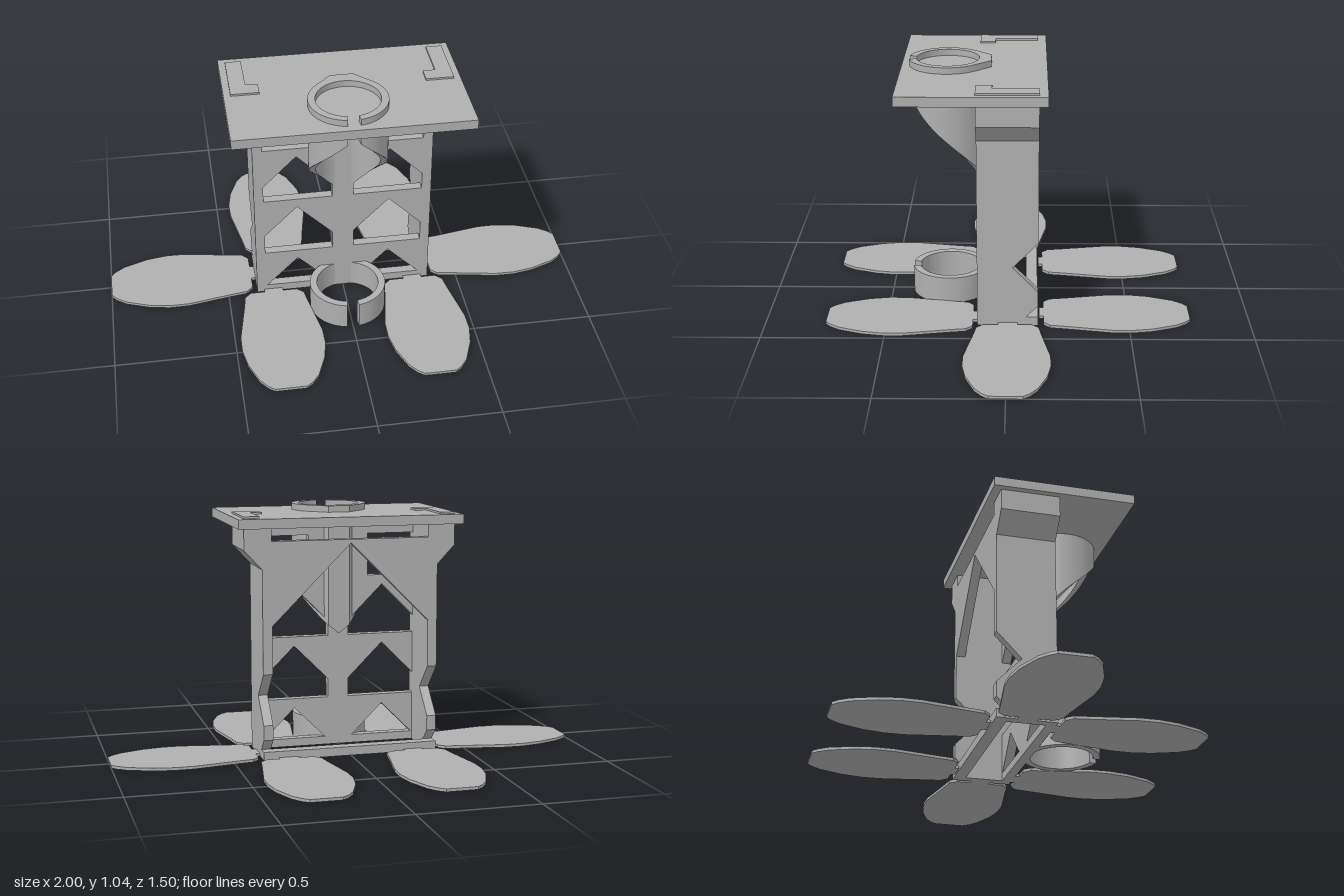
import * as THREE from 'three';
import { toCreasedNormals } from 'three/addons/utils/BufferGeometryUtils.js';

export function createModel() {
  const model = new THREE.Group();
  const grey = new THREE.MeshStandardMaterial({ color: 0xb0b0b0 });
  grey.name = 'plain grey';

  const add = (name, geometry) => {
    const mesh = new THREE.Mesh(geometry, grey);
    mesh.name = name;
    model.add(mesh);
    return mesh;
  };
  const box = (name, x0, x1, y0, y1, z0, z1) =>
    add(name, new THREE.BoxGeometry(x1 - x0, y1 - y0, z1 - z0)
      .translate((x0 + x1) / 2, (y0 + y1) / 2, (z0 + z1) / 2));
  const points = (list) => list.map(([x, y]) => new THREE.Vector2(x, y));
  const mirror = (list, s) => list.map(([x, y]) => [s * x, y]);
  const extrude = (outline, depth, holes = []) => {
    const shape = new THREE.Shape(points(outline));
    holes.forEach((h) => shape.holes.push(new THREE.Path(points(h))));
    return new THREE.ExtrudeGeometry(shape, { depth, bevelEnabled: false });
  };

  // Front truss panel with pointed windows and two square ones on top
  const windows = [
    [[0.045, 0.48], [0.335, 0.48], [0.335, 0.555], [0.195, 0.695], [0.045, 0.545]],
    [[0.045, 0.21], [0.335, 0.21], [0.335, 0.3], [0.195, 0.44], [0.045, 0.29]],
    [[0.06, 0.035], [0.33, 0.035], [0.195, 0.17]],
    [[0.13, 0.735], [0.335, 0.735], [0.335, 0.915], [0.13, 0.915]],
  ];
  const holes = [1, -1].flatMap((s) => windows.map((w) => mirror(w, s)));
  add('frontTruss', extrude(
    [[-0.375, 0], [0.375, 0], [0.375, 0.97], [-0.375, 0.97]], 0.04, holes)
    .translate(0, 0, 0.085));

  // Back wall with a gabled underside
  add('backGable', extrude([
    [-0.335, 0.565], [0, 0.9], [0.335, 0.565], [0.335, 0.915], [-0.335, 0.915],
  ], 0.04).translate(0, 0, -0.125));

  // Side walls, notched along the back edge, with flared brackets on top
  const sideProfile = [
    [-0.125, 0], [0.125, 0], [0.125, 0.97], [-0.125, 0.97], [-0.125, 0.365],
    [-0.02, 0.257], [-0.125, 0.15], [-0.125, 0.087], [-0.075, 0.037], [-0.125, 0.037],
  ];
  const bracket = [[0.37, 0.8], [0.375, 0.8], [0.45, 0.88], [0.45, 0.97], [0.37, 0.97]];
  const clip = [
    [0.335, -0.125], [0.45, -0.125], [0.45, 0.125], [0.385, 0.125],
    [0.385, -0.06], [0.335, -0.06],
  ];
  for (const s of [1, -1]) {
    const side = s > 0 ? 'left' : 'right';
    add(side + 'Wall', extrude(sideProfile, 0.04).rotateY(-Math.PI / 2)
      .translate(s > 0 ? 0.375 : -0.335, 0, 0));
    add(side + 'Bracket', extrude(mirror(bracket, s), 0.25).translate(0, 0, -0.125));
    add(side + 'TopClip', extrude(mirror(clip, s), 0.013).rotateX(-Math.PI / 2)
      .translate(0, 1.005, 0));
  }

  // Base frame bar and table top
  box('backBaseBar', -0.375, 0.375, 0, 0.037, -0.125, -0.075);
  box('topPlate', -0.478, 0.478, 0.97, 1.01, -0.16, 0.44);

  // Split ring around (0, 0.25): bottom(t) is the lower edge, radius(t) the outer wall
  const splitRing = (name, bottom, top, radius) => {
    const n = 72, inner = 0.13, pos = [], index = [];
    for (let i = 0; i <= n; i++) {
      const t = 0.16 + (2 * Math.PI - 0.32) * i / n;
      const r = radius(t), y = bottom(t);
      for (const [q, h] of [[inner, y], [inner, top], [r, top], [r, y]])
        pos.push(q * Math.sin(t), h, 0.25 + q * Math.cos(t));
      if (i === n) break;
      for (let j = 0; j < 4; j++) {
        const a = i * 4 + j, b = i * 4 + (j + 1) % 4;
        index.push(b, b + 4, a + 4, b, a + 4, a);
      }
    }
    const e = n * 4;
    index.push(0, 3, 2, 0, 2, 1, e, e + 1, e + 2, e, e + 2, e + 3);
    const g = new THREE.BufferGeometry();
    g.setAttribute('position', new THREE.Float32BufferAttribute(pos, 3));
    g.setIndex(index);
    add(name, toCreasedNormals(g, 0.5));
  };
  // Upper holder: lower edge spirals down to the back, where the wall thickens
  const teardrop = (t) => {
    const d = Math.abs(t - Math.PI);
    return d > Math.PI / 4 ? 0.16
      : Math.min(0.16 / Math.cos(d - Math.PI / 4), 0.18 / Math.cos(d));
  };
  splitRing('upperHolder',
    (t) => 0.945 - 0.145 * Math.min(t, 2 * Math.PI - t), 1.037, teardrop);
  splitRing('lowerHolder', () => 0, 0.115, () => 0.16);

  // Flat petal feet
  const half = [
    [0, 0.04], [0.018, 0.04], [0.018, 0.1], [0.045, 0.128], [0.105, 0.137],
    [0.3, 0.172], [0.38, 0.173], [0.465, 0.158], [0.565, 0.12], [0.605, 0.09], [0.625, 0.065],
  ];
  const petal = [...half.map(([u, w]) => [u, -w]), ...half.slice().reverse()];
  const petalGeometry = extrude(petal, 0.012).rotateX(-Math.PI / 2);
  const feet = [
    ['leftFoot', 0.375, 0, 0], ['rightFoot', -0.375, 0, Math.PI],
    ['backLeftFoot', 0.27, -0.13, Math.PI / 2], ['backRightFoot', -0.27, -0.13, Math.PI / 2],
    ['frontLeftFoot', 0.305, 0.125, -Math.PI / 2], ['frontRightFoot', -0.305, 0.125, -Math.PI / 2],
  ];
  for (const [name, x, z, turn] of feet) {
    const foot = add(name, petalGeometry);
    foot.position.set(x, 0, z);
    foot.rotation.y = turn;
  }
  return model;
}
